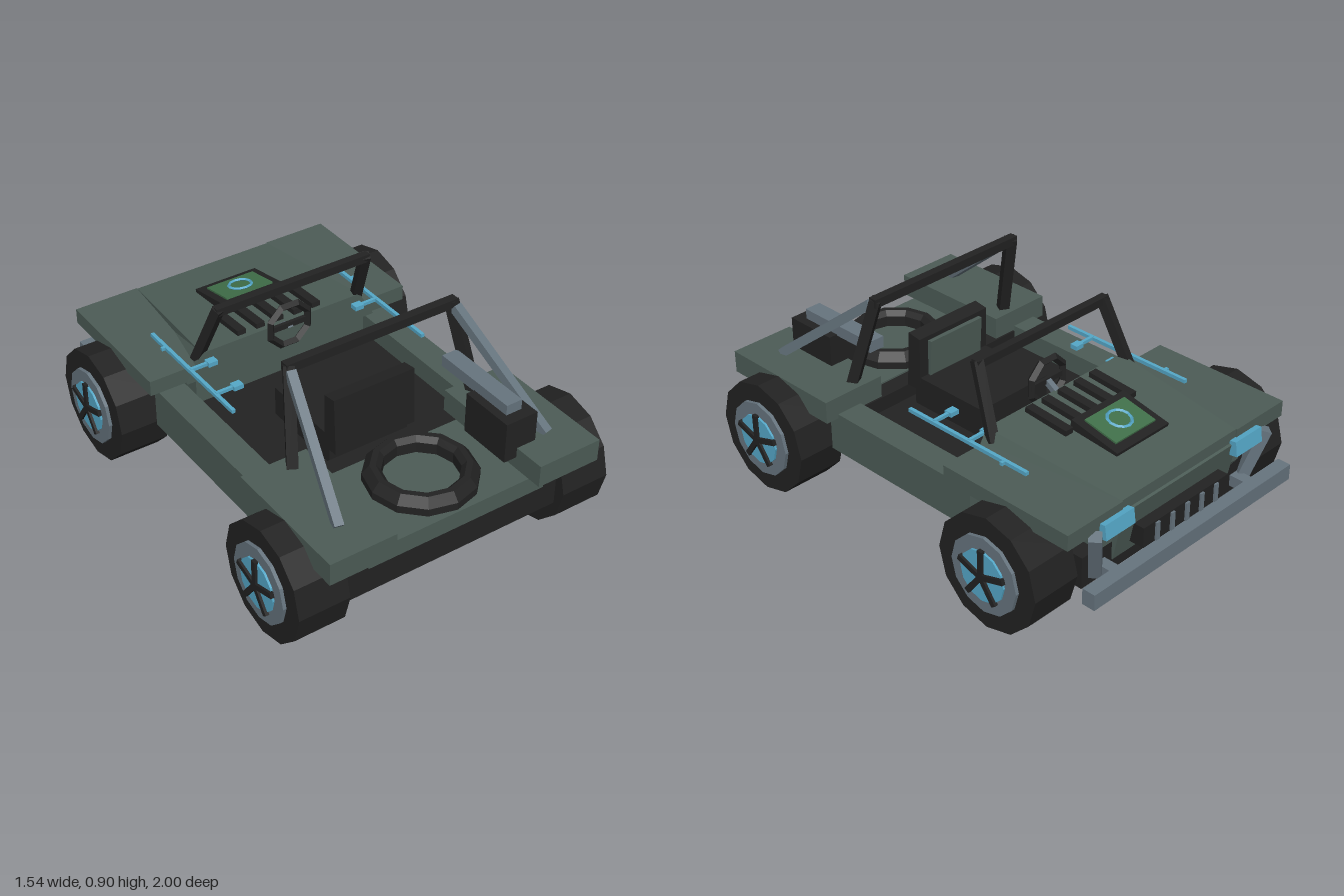
import * as THREE from 'three';

const material = (name, color) => {
  const m = new THREE.MeshStandardMaterial({ color, flatShading: true });
  m.name = name;
  return m;
};

export function createModel() {
  const model = new THREE.Group();
  model.name = 'buggy';
  const paint = material('body green', 0x4c5c56);
  const black = material('black', 0x222222);
  const steel = material('steel grey', 0x66747e);
  const blue = material('light blue', 0x55a8c8);
  const lime = material('panel green', 0x41704a);

  const add = (name, geo, mat, parent = model) => {
    const mesh = new THREE.Mesh(geo, mat);
    mesh.name = name;
    parent.add(mesh);
    return mesh;
  };
  // Box given by its limits on each axis
  const box = (name, mat, x0, x1, y0, y1, z0, z1, parent = model) => {
    const m = add(name, new THREE.BoxGeometry(x1 - x0, y1 - y0, z1 - z0), mat, parent);
    m.position.set((x0 + x1) / 2, (y0 + y1) / 2, (z0 + z1) / 2);
    return m;
  };
  // Square bar between two points
  const beam = (name, mat, a, b, w, h = w) => {
    const p = new THREE.Vector3(...a), q = new THREE.Vector3(...b);
    const m = add(name, new THREE.BoxGeometry(w, h, p.distanceTo(q)), mat);
    m.position.copy(p).add(q).multiplyScalar(0.5);
    m.lookAt(q);
    return m;
  };
  // Side profile of [z, y] points extruded across x
  const slab = (name, mat, pts, x0, x1) => {
    const shape = new THREE.Shape(pts.map(([z, y]) => new THREE.Vector2(-z, y)));
    const geo = new THREE.ExtrudeGeometry(shape, { depth: x1 - x0, bevelEnabled: false });
    geo.rotateY(Math.PI / 2).translate(x0, 0, 0);
    return add(name, geo, mat);
  };

  // Chassis and body tub
  box('chassis', black, -0.5, 0.5, 0.19, 0.33, -0.86, 0.92);
  box('rearDeck', paint, -0.415, 0.415, 0.325, 0.402, 0.49, 0.94);
  box('cabinRearWall', black, -0.45, 0.45, 0.325, 0.395, 0.41, 0.49);
  box('frontBody', paint, -0.42, 0.42, 0.32, 0.5, -0.86, -0.27);
  for (const s of [-1, 1]) {
    const span = (a, b) => (s > 0 ? [a, b] : [-b, -a]);
    box('sidePanel', paint, ...span(0.45, 0.57), 0.235, 0.42, -0.35, 0.46);
    box('rearFender', paint, ...span(0.335, 0.63), 0.402, 0.5, 0.41, 1.0);
    box('frontFender', paint, ...span(0.335, 0.63), 0.455, 0.524, -0.905, -0.27);
  }

  // Tapered bonnet, higher and wider towards the cabin
  const hood = new THREE.BoxGeometry(1, 1, 1);
  const hp = hood.attributes.position;
  for (let i = 0; i < hp.count; i++) {
    const rear = hp.getZ(i) > 0, top = hp.getY(i) > 0, s = Math.sign(hp.getX(i));
    hp.setXYZ(i, s * (rear ? (top ? 0.39 : 0.465) : 0.335),
      top ? (rear ? 0.577 : 0.524) : 0.45, rear ? -0.26 : -0.9);
  }
  hood.computeVertexNormals();
  add('bonnet', hood, paint);

  // Nose, grille and bumper
  slab('nose', paint, [[-0.84, 0.5], [-0.91, 0.47], [-0.865, 0.24], [-0.8, 0.24]], -0.335, 0.335);
  box('grille', black, -0.25, 0.25, 0.285, 0.375, -0.94, -0.87);
  for (let i = -2; i <= 2; i++)
    box('grilleBar', steel, i * 0.087 - 0.01, i * 0.087 + 0.01, 0.29, 0.37, -0.949, -0.938);
  box('bumper', steel, -0.585, 0.585, 0.215, 0.285, -1.0, -0.94);
  for (const s of [-1, 1]) {
    beam('bumperStay', steel, [s * 0.5, 0.46, -0.92], [s * 0.43, 0.23, -0.865], 0.05);
    beam('bumperMount', steel, [s * 0.4, 0.245, -0.86], [s * 0.4, 0.245, -0.95], 0.05);
    const lamp = box('headlight', blue, s * 0.38 - 0.08, s * 0.38 + 0.08, 0.425, 0.49, -0.935, -0.9);
    lamp.rotation.x = 0.15;
  }

  // Engine cover with display panel and vents on the bonnet
  const cover = new THREE.Group();
  cover.name = 'engineCover';
  cover.position.set(0, 0.553, -0.592);
  cover.rotation.x = -0.2;
  model.add(cover);
  box('coverBlock', black, -0.15, 0.15, -0.03, 0.025, -0.12, 0.12, cover);
  box('coverPanel', lime, -0.115, 0.115, 0.025, 0.033, -0.08, 0.085, cover);
  const dial = add('coverDial', new THREE.TorusGeometry(0.05, 0.007, 4, 12), blue, cover);
  dial.rotation.x = Math.PI / 2;
  dial.position.set(0, 0.036, 0.007);
  for (let i = -2; i <= 2; i++)
    beam('bonnetVent', black, [i * 0.092, 0.58, -0.285], [i * 0.092, 0.565, -0.5 + Math.abs(i) % 2 * 0.01], 0.04, 0.035);

  // Seat
  box('seatBase', black, -0.19, 0.19, 0.32, 0.462, -0.03, 0.36);
  slab('seatBack', black, [[0.33, 0.4], [0.405, 0.4], [0.39, 0.655], [0.325, 0.645]], -0.192, 0.192);
  slab('seatPad', paint, [[0.315, 0.46], [0.33, 0.46], [0.325, 0.625], [0.305, 0.625]], -0.145, 0.145);

  // Steering wheel
  const steering = add('steeringWheel', new THREE.TorusGeometry(0.098, 0.018, 4, 8), black);
  steering.position.set(0, 0.6, -0.21);
  steering.rotation.z = Math.PI / 8;
  box('steeringSpoke', black, -0.1, 0.1, 0.588, 0.612, -0.218, -0.202);
  beam('steeringColumn', steel, [0, 0.6, -0.205], [0, 0.54, -0.3], 0.025);

  // Windscreen frame, roll bar and rear struts
  beam('windscreenTop', black, [-0.37, 0.815, -0.18], [0.37, 0.815, -0.18], 0.035);
  beam('rollBarTop', black, [-0.4, 0.882, 0.365], [0.4, 0.882, 0.365], 0.038);
  for (const s of [-1, 1]) {
    beam('windscreenPost', black, [s * 0.355, 0.825, -0.175], [s * 0.395, 0.53, -0.3], 0.04);
    beam('rollBarPost', black, [s * 0.38, 0.89, 0.365], [s * 0.445, 0.42, 0.485], 0.045);
    beam('rearStrut', steel, [s * 0.385, 0.87, 0.385], [s * 0.49, 0.5, 0.85], 0.038);
  }

  // Spare tyre lying on the rear deck
  const ring = [[0.155, 0.402], [0.23, 0.402], [0.23, 0.435], [0.2, 0.472], [0.175, 0.472], [0.155, 0.45], [0.155, 0.402]];
  const spare = add('spareTyre', new THREE.LatheGeometry(ring.map(p => new THREE.Vector2(...p)), 12), black);
  spare.position.z = 0.7;

  // Rear box with a bar on top
  box('rearBox', black, 0.275, 0.425, 0.455, 0.635, 0.615, 0.86);
  box('rearBoxBar', steel, 0.312, 0.386, 0.63, 0.68, 0.41, 0.81);

  // Side rods with inward arms
  for (const s of [-1, 1]) {
    beam('sideRod', blue, [s * 0.462, 0.535, -0.545], [s * 0.462, 0.535, 0.095], 0.016);
    for (const z of [-0.235, -0.04]) {
      beam('rodArm', blue, [s * 0.462, 0.538, z], [s * 0.36, 0.538, z], 0.014);
      beam('rodKnob', blue, [s * 0.385, 0.538, z], [s * 0.342, 0.538, z], 0.036, 0.02);
    }
    beam('rodClip', blue, [s * 0.455, 0.535, -0.43], [s * 0.485, 0.535, -0.43], 0.014);
  }

  // Wheels: tyre, rim, hub disc and five spokes
  for (const s of [-1, 1]) for (const z of [0.71, -0.6]) {
    const wheel = new THREE.Group();
    wheel.name = 'wheel';
    wheel.position.set(0, 0.25, z);
    model.add(wheel);
    const disc = (name, mat, r, x0, x1) => {
      const m = add(name, new THREE.CylinderGeometry(r, r, x1 - x0, 12), mat, wheel);
      m.rotation.z = Math.PI / 2;
      m.position.x = s * (x0 + x1) / 2;
    };
    disc('tyre', black, 0.25, 0.51, 0.735);
    disc('rim', steel, 0.168, 0.7, 0.75);
    disc('hub', blue, 0.112, 0.74, 0.759);
    for (let i = 0; i < 5; i++) {
      const a = i * Math.PI * 2 / 5;
      const spoke = add('spoke', new THREE.BoxGeometry(0.016, 0.12, 0.024), black, wheel);
      spoke.position.set(s * 0.762, Math.cos(a) * 0.06, Math.sin(a) * 0.06);
      spoke.rotation.x = a;
    }
  }
  return model;
}
